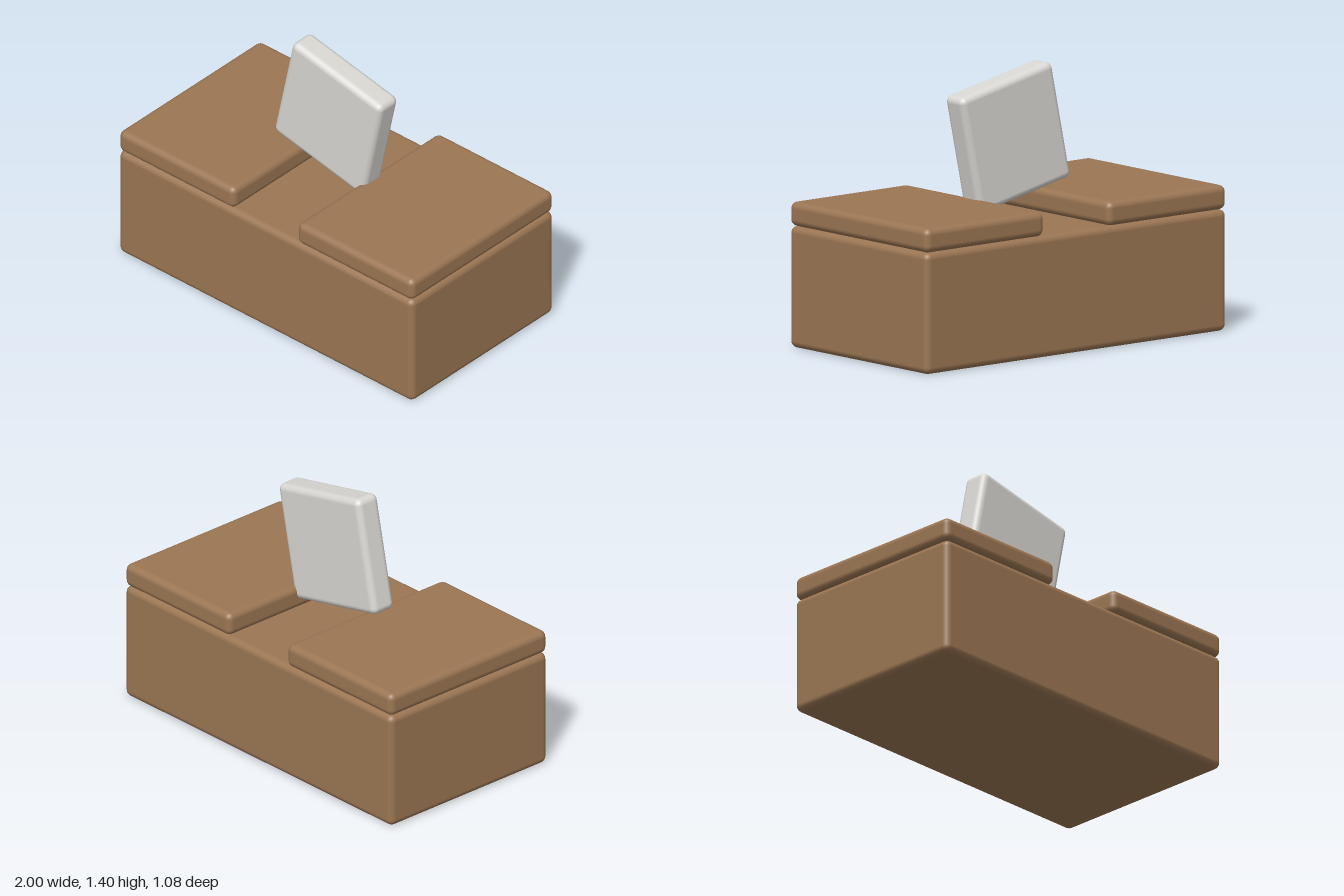
import * as THREE from 'three';
import { RoundedBoxGeometry } from 'three/addons/geometries/RoundedBoxGeometry.js';

export function createModel() {
  const model = new THREE.Group();
  model.name = 'slottedBox';

  const brown = new THREE.MeshStandardMaterial({ color: 0x9b7653 });
  brown.name = 'brown wood';
  const paleGrey = new THREE.MeshStandardMaterial({ color: 0xd9d7d2 });
  paleGrey.name = 'pale grey';

  // Softly rounded block given by its size and centre
  function block(name, size, centre, material) {
    const mesh = new THREE.Mesh(new RoundedBoxGeometry(...size, 3, 0.035), material);
    mesh.name = name;
    mesh.position.set(...centre);
    model.add(mesh);
    return mesh;
  }

  // Main body
  block('base', [2, 0.625, 1.08], [0, 0.3125, 0], brown);

  // Two top boards leaving a slot across the middle
  for (const side of [-1, 1]) {
    block(side > 0 ? 'leftTopBoard' : 'rightTopBoard',
      [0.788, 0.125, 1.08], [side * 0.606, 0.6875, 0], brown);
  }

  // Tilted card above the slot
  const card = block('tiltedCard', [0.622, 0.622, 0.145], [0, 1.042, 0], paleGrey);
  card.rotation.z = -0.21;

  return model;
}
